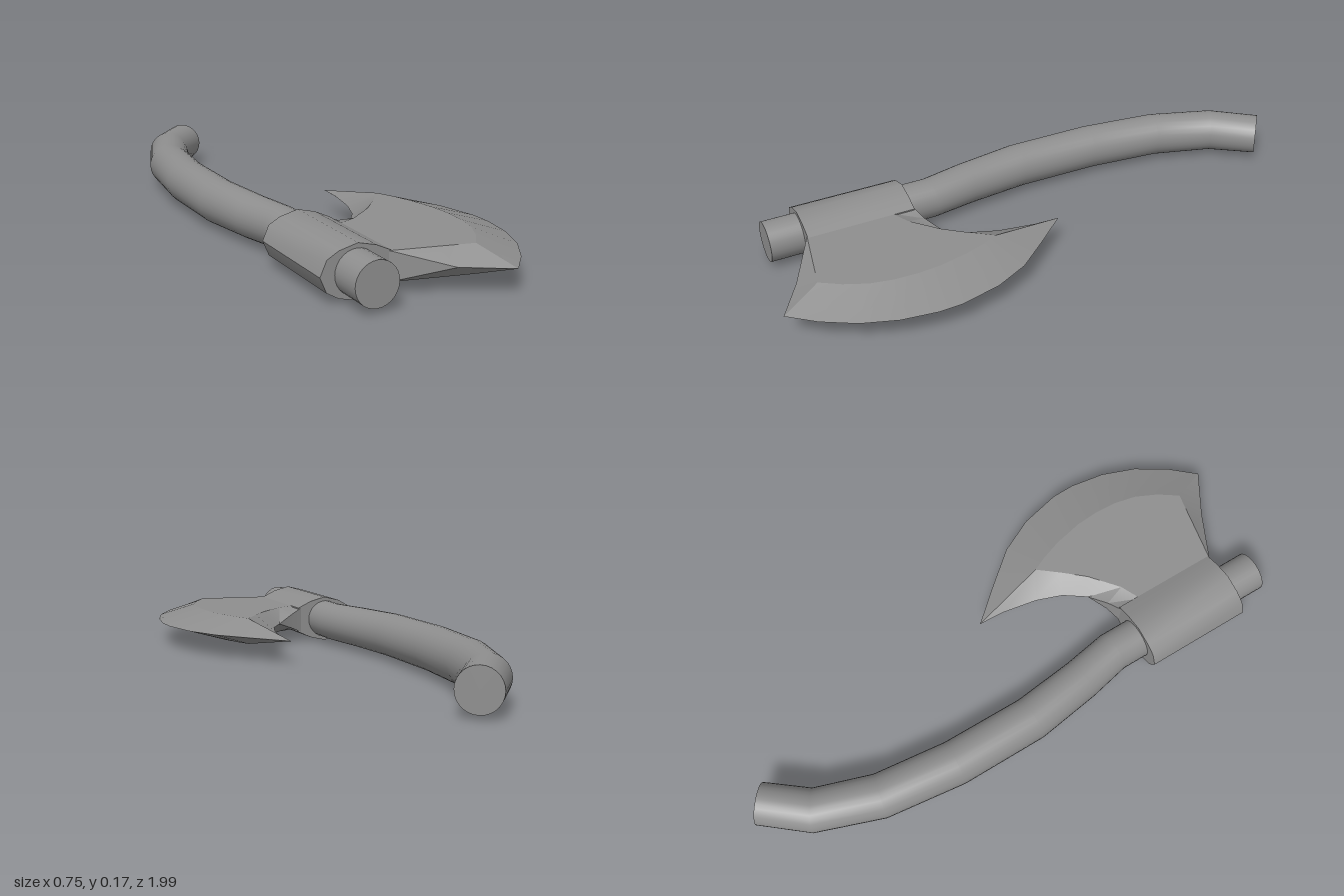
import * as THREE from 'three';
import { toCreasedNormals } from 'three/addons/utils/BufferGeometryUtils.js';

const MID = 0.087; // height of the symmetry plane
const metal = new THREE.MeshStandardMaterial({ color: 0x8e8e8e });

function part(name, geometry, crease) {
  geometry.deleteAttribute('uv');
  const mesh = new THREE.Mesh(toCreasedNormals(geometry, crease), metal);
  mesh.name = name;
  return mesh;
}

// Curved haft: a cylinder whose rings follow a bent centre line
function haft() {
  // x, z, radius
  const rings = [
    [-0.243, 0.93, 0.07], [-0.243, 0.34, 0.07], [-0.272, 0.19, 0.073], [-0.301, -0.03, 0.077],
    [-0.3, -0.33, 0.078], [-0.268, -0.6, 0.077], [-0.194, -0.815, 0.075], [-0.082, -0.955, 0.072],
  ];
  const last = rings.length - 1;
  const points = rings.map(([x, z]) => new THREE.Vector3(x, MID, z));
  const up = new THREE.Vector3(0, 1, 0);
  const sides = points.map((p, i) => {
    const before = p.clone().sub(points[Math.max(i - 1, 0)]).normalize();
    const after = points[Math.min(i + 1, last)].clone().sub(p).normalize();
    return before.add(after).normalize().cross(up);
  });
  const g = new THREE.CylinderGeometry(1, 1, last, 28, last);
  const pos = g.attributes.position;
  for (let k = 0; k < pos.count; k++) {
    const i = Math.round(pos.getY(k) + last / 2);
    const r = rings[i][2];
    const v = points[i].clone().addScaledVector(sides[i], pos.getX(k) * r);
    v.y += pos.getZ(k) * r;
    pos.setXYZ(k, v.x, v.y, v.z);
  }
  return part('haft', g, 0.7);
}

// Socket: teardrop section pushed along the haft
function socket() {
  const half = [[-0.338, 0.048], [-0.3, 0.07], [-0.24, 0.085], [-0.18, 0.07], [-0.13, 0.047]];
  const outline = [
    [-0.359, 0], ...half.map(([x, y]) => [x, -y]), ...half.slice().reverse(),
  ].map(([x, y]) => new THREE.Vector2(x, y + MID));
  const g = new THREE.ExtrudeGeometry(new THREE.Shape(outline), { depth: 0.375, bevelEnabled: false });
  g.translate(0, 0, 0.44);
  return part('socket', g, 0.7);
}

// Blade: flat cheeks with bevels running down to the rim
function blade() {
  const T = 0.047; // half thickness of the cheeks
  // rim x, rim z, rim half thickness, cheek x, cheek z
  const rows = [
    [-0.14, 0.815, T, -0.14, 0.815],
    [0.03, 0.91, 0, 0.0, 0.842],
    [0.175, 0.995, 0, 0.12, 0.865],
    [0.25, 0.91, 0, 0.165, 0.8],
    [0.315, 0.805, 0, 0.2, 0.725],
    [0.357, 0.69, 0, 0.216, 0.65],
    [0.375, 0.57, 0, 0.22, 0.57],
    [0.373, 0.49, 0, 0.214, 0.49],
    [0.34, 0.35, 0, 0.192, 0.39],
    [0.281, 0.23, 0, 0.168, 0.32],
    [0.185, 0.115, 0, 0.143, 0.265],
    [0.084, 0.0, 0, 0.143, 0.265],
    [0.08, 0.09, 0, 0.143, 0.265],
    [0.058, 0.215, 0, 0.143, 0.265],
    [0.026, 0.305, 0, 0.085, 0.338],
    [-0.026, 0.38, 0, 0.025, 0.408],
    [-0.09, 0.42, 0.025, -0.07, 0.487],
    [-0.14, 0.44, T, -0.14, 0.52],
  ];
  const centre = [0.03, 0.62];
  const cheeks = [], bevels = [];
  const n = rows.length;
  for (let i = 0; i < n; i++) {
    const [ax, az, ah, aix, aiz] = rows[i];
    const [bx, bz, bh, bix, biz] = rows[(i + 1) % n];
    for (const s of [1, -1]) {
      const y = MID + s * T;
      const a = [ax, MID + s * ah, az], b = [bx, MID + s * bh, bz];
      const ai = [aix, y, aiz], bi = [bix, y, biz];
      const face = (list, p, q, r) => list.push(...p, ...(s > 0 ? q : r), ...(s > 0 ? r : q));
      face(bevels, a, b, bi);
      face(bevels, a, bi, ai);
      face(cheeks, ai, bi, [centre[0], y, centre[1]]);
      // narrow wall where the rim is still thick
      if (ah + bh > 0) {
        const am = [ax, MID, az], bm = [bx, MID, bz];
        face(bevels, am, bm, b);
        face(bevels, am, b, a);
      }
    }
  }
  const build = (name, list) => {
    const g = new THREE.BufferGeometry();
    g.setAttribute('position', new THREE.Float32BufferAttribute(list, 3));
    return part(name, g, 0.5);
  };
  const group = new THREE.Group();
  group.name = 'blade';
  group.add(build('bladeCheeks', cheeks), build('bladeBevels', bevels));
  return group;
}

export function createModel() {
  const axe = new THREE.Group();
  axe.name = 'axe';
  axe.add(haft(), socket(), blade());
  return axe;
}
